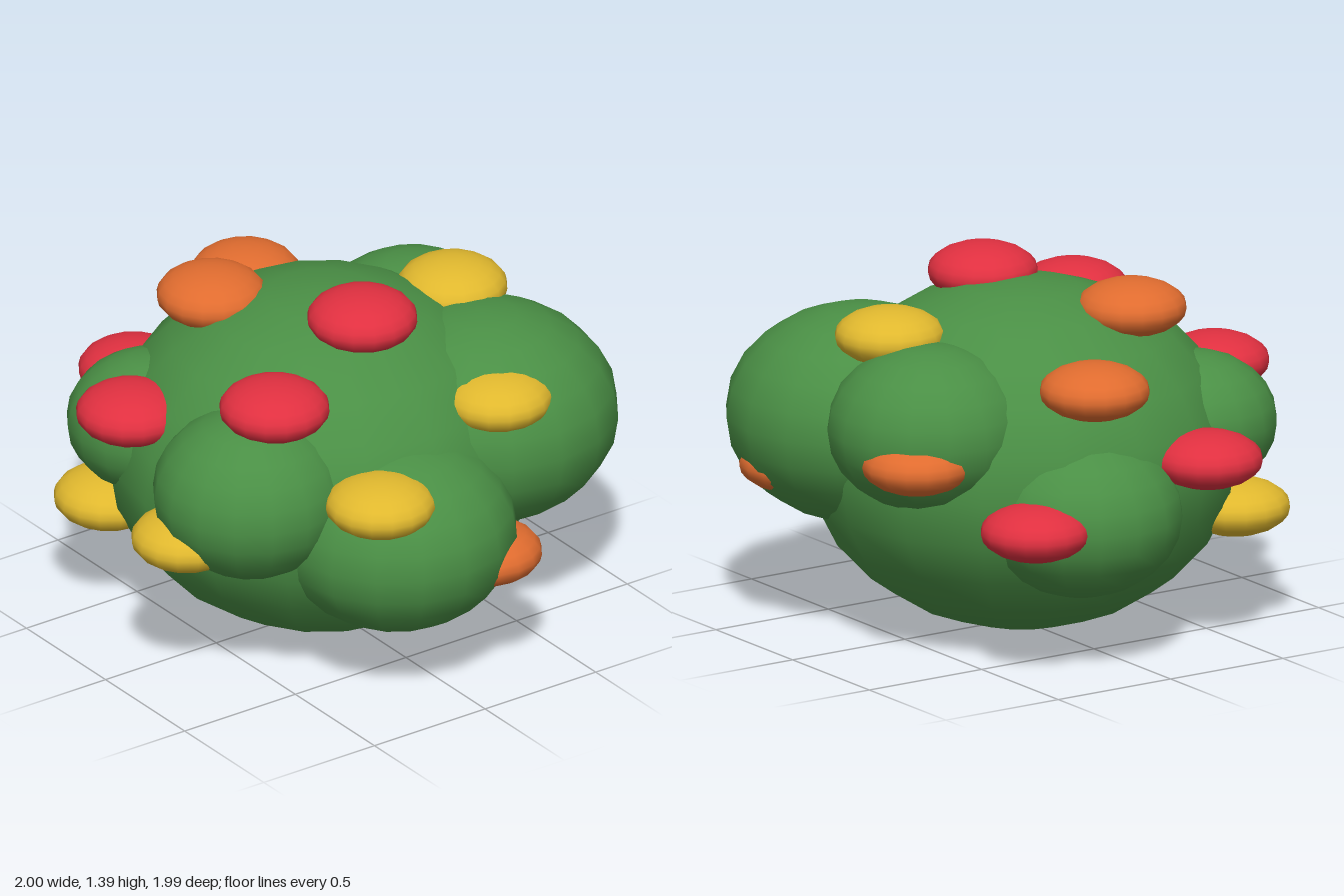
import * as THREE from 'three';

const flat = (name, color) => {
  const m = new THREE.MeshStandardMaterial({ color });
  m.name = name;
  return m;
};

export function createModel() {
  const group = new THREE.Group();
  group.name = 'berryBush';

  const leafGreen = flat('leaf green', 0x4a8f45);
  const red = flat('berry red', 0xe03040);
  const orange = flat('berry orange', 0xe06c2f);
  const yellow = flat('berry yellow', 0xe0b82e);

  const sphere = new THREE.SphereGeometry(1, 16, 12);

  // Squashed sphere: horizontal radius r, vertical radius ry
  function blob(name, material, [x, y, z], r, ry) {
    const mesh = new THREE.Mesh(sphere, material);
    mesh.name = name;
    mesh.position.set(x, y, z);
    mesh.scale.set(r, ry, r);
    group.add(mesh);
  }

  // Foliage: central mass and the lobes around it
  blob('foliageCore', leafGreen, [-0.03, 0.652, 0], 0.8, 0.652);
  const lobes = [
    ['frontLeftLobe', [0.29, 0.77, 0.55], 0.365, 0.315],
    ['frontRightLobe', [-0.39, 0.77, 0.52], 0.31, 0.26],
    ['leftLobe', [0.55, 0.585, 0.08], 0.45, 0.365],
    ['backLeftLobe', [0.3, 0.8, -0.49], 0.505, 0.405],
    ['backRightLobe', [-0.23, 0.87, -0.55], 0.38, 0.31],
    ['rightLobe', [-0.59, 0.56, -0.12], 0.38, 0.31],
  ];
  for (const [name, pos, r, ry] of lobes) blob(name, leafGreen, pos, r, ry);

  // Flattened berries half sunk into the foliage
  const berries = [
    ['redBerry', red, [
      [0.21, 1.285, -0.01], [0.34, 1.115, 0.48], [-0.23, 0.93, 0.72],
      [-0.795, 0.745, 0.305], [-0.75, 0.57, -0.43],
    ]],
    ['orangeBerry', orange, [
      [-0.35, 1.23, 0.27], [-0.695, 1.05, -0.13], [-0.4, 0.79, -0.72],
      [0.76, 0.5, -0.18], [0.35, 0.635, -0.755],
    ]],
    ['yellowBerry', yellow, [
      [0.21, 0.615, 0.785], [-0.49, 0.445, 0.635], [0.73, 0.82, 0.28],
      [0.575, 1.005, -0.36], [0.01, 1.168, -0.56],
    ]],
  ];
  for (const [name, material, spots] of berries) {
    spots.forEach((pos, i) => blob(name + (i + 1), material, pos, 0.205, 0.105));
  }

  return group;
}
